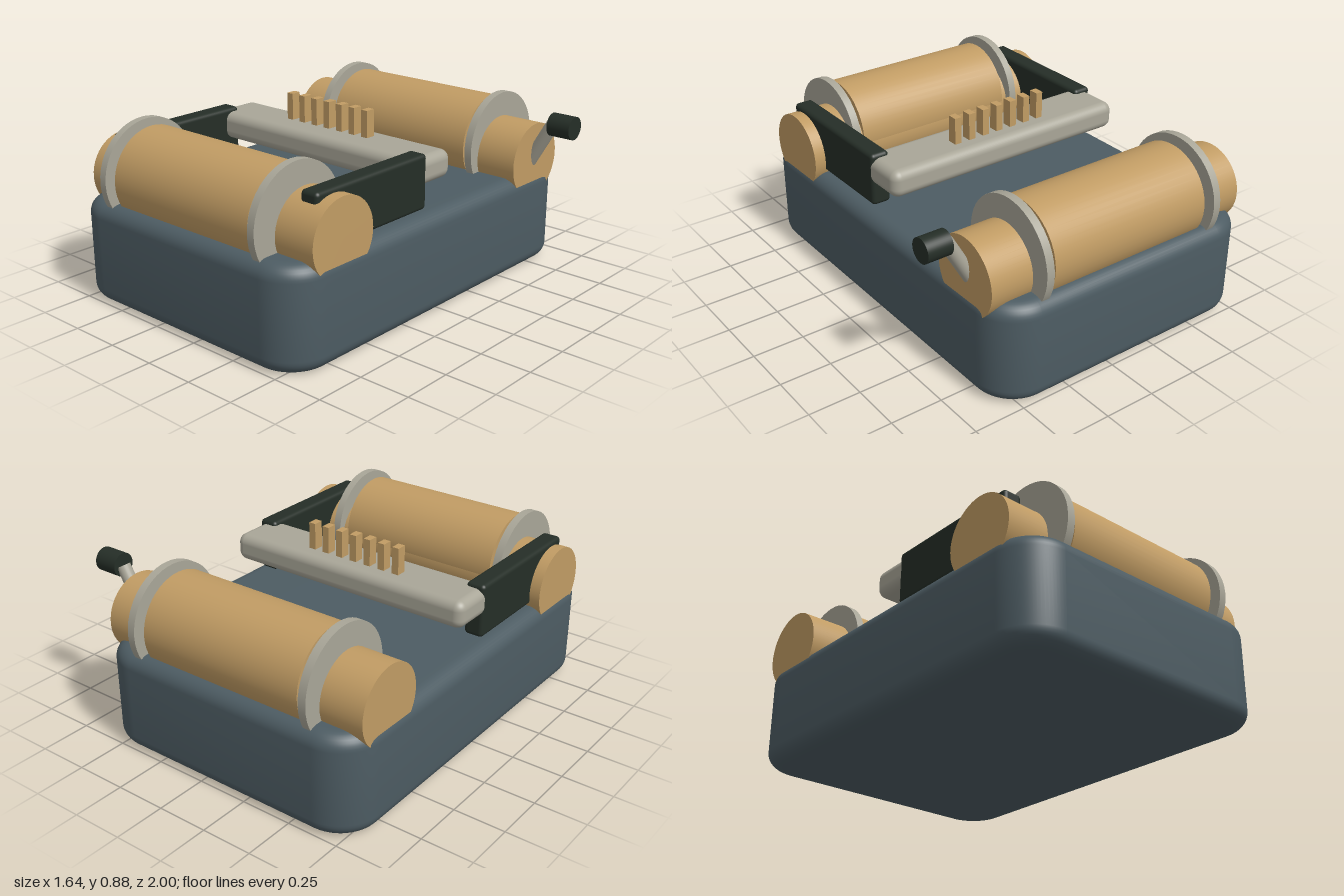
import * as THREE from 'three';
import { toCreasedNormals } from 'three/addons/utils/BufferGeometryUtils.js';
import { RoundedBoxGeometry } from 'three/addons/geometries/RoundedBoxGeometry.js';

function material(name, color) {
  const m = new THREE.MeshStandardMaterial({ color });
  m.name = name;
  return m;
}

export function createModel() {
  const slate = material('slate blue', 0x4d5c63);
  const tan = material('warm tan', 0xc19c64);
  const stone = material('stone grey', 0xa9a698);
  const dark = material('dark green', 0x252e27);

  const model = new THREE.Group();
  model.name = 'rollerMachine';
  const midX = -0.105;

  function add(name, geometry, mat, x, y, z, parent = model) {
    const mesh = new THREE.Mesh(geometry, mat);
    mesh.name = name;
    mesh.position.set(x, y, z);
    parent.add(mesh);
    return mesh;
  }

  // Cylinder lying along x between two x positions
  function barrel(name, r, x0, x1, y, z, mat, parent) {
    const g = new THREE.CylinderGeometry(r, r, x1 - x0, 48).rotateZ(Math.PI / 2);
    return add(name, g, mat, (x0 + x1) / 2, y, z, parent);
  }

  // Base: rounded rectangle with soft top and bottom edges
  const bevel = 0.07, w = 0.715 - bevel, d = 1 - bevel, r = 0.2 - bevel;
  const outline = new THREE.Shape();
  outline.absarc(w - r, d - r, r, 0, Math.PI / 2);
  outline.absarc(-w + r, d - r, r, Math.PI / 2, Math.PI);
  outline.absarc(-w + r, -d + r, r, Math.PI, Math.PI * 1.5);
  outline.absarc(w - r, -d + r, r, Math.PI * 1.5, Math.PI * 2);
  outline.closePath();
  const base = new THREE.ExtrudeGeometry(outline, {
    depth: 0.492 - 2 * bevel, bevelEnabled: true, bevelSize: bevel,
    bevelThickness: bevel, bevelSegments: 8, curveSegments: 10,
  }).rotateX(-Math.PI / 2);
  add('base', toCreasedNormals(base, 0.6), slate, midX, bevel, 0);

  // Front and rear rollers, each with a slimmer shaft and two flanges
  const rollers = [
    { name: 'frontRoller', z: 0.737, shaftZ: 0.692 },
    { name: 'rearRoller', z: -0.74, shaftZ: -0.725 },
  ];
  for (const { name, z, shaftZ } of rollers) {
    const group = new THREE.Group();
    group.name = name;
    model.add(group);
    barrel('drum', 0.23, -0.532, 0.325, 0.602, z, tan, group);
    barrel('shaft', 0.186, -0.812, 0.605, 0.558, shaftZ, tan, group);
    barrel('leftFlange', 0.26, 0.355, 0.394, 0.602, z, stone, group);
    barrel('rightFlange', 0.26, -0.6, -0.561, 0.602, z, stone, group);
  }

  // Carriage bar with its row of pegs
  add('carriageBar', new RoundedBoxGeometry(1.305, 0.135, 0.27, 5, 0.045), stone, midX, 0.678, 0.02);
  for (let i = -3; i <= 3; i++) {
    add('peg', new THREE.BoxGeometry(0.036, 0.16, 0.05), tan, midX + i * 0.08, 0.797, -0.004);
  }

  // Side arms linking the carriage bar to the front roller
  for (const [name, side] of [['leftArm', 1], ['rightArm', -1]]) {
    add(name, new RoundedBoxGeometry(0.096, 0.262, 0.72, 4, 0.02), dark, midX + side * 0.606, 0.634, 0.43);
  }

  // Crank on the left end of the rear roller
  const start = new THREE.Vector3(0.575, 0.544, -0.725);
  const end = new THREE.Vector3(0.696, 0.755, -0.725);
  const rod = add('crankRod', new THREE.CylinderGeometry(0.033, 0.033, start.distanceTo(end), 24), stone, 0, 0, 0);
  rod.position.addVectors(start, end).multiplyScalar(0.5);
  rod.quaternion.setFromUnitVectors(new THREE.Vector3(0, 1, 0), end.clone().sub(start).normalize());
  barrel('crankKnob', 0.057, 0.696, 0.818, 0.758, -0.725, dark);

  return model;
}
